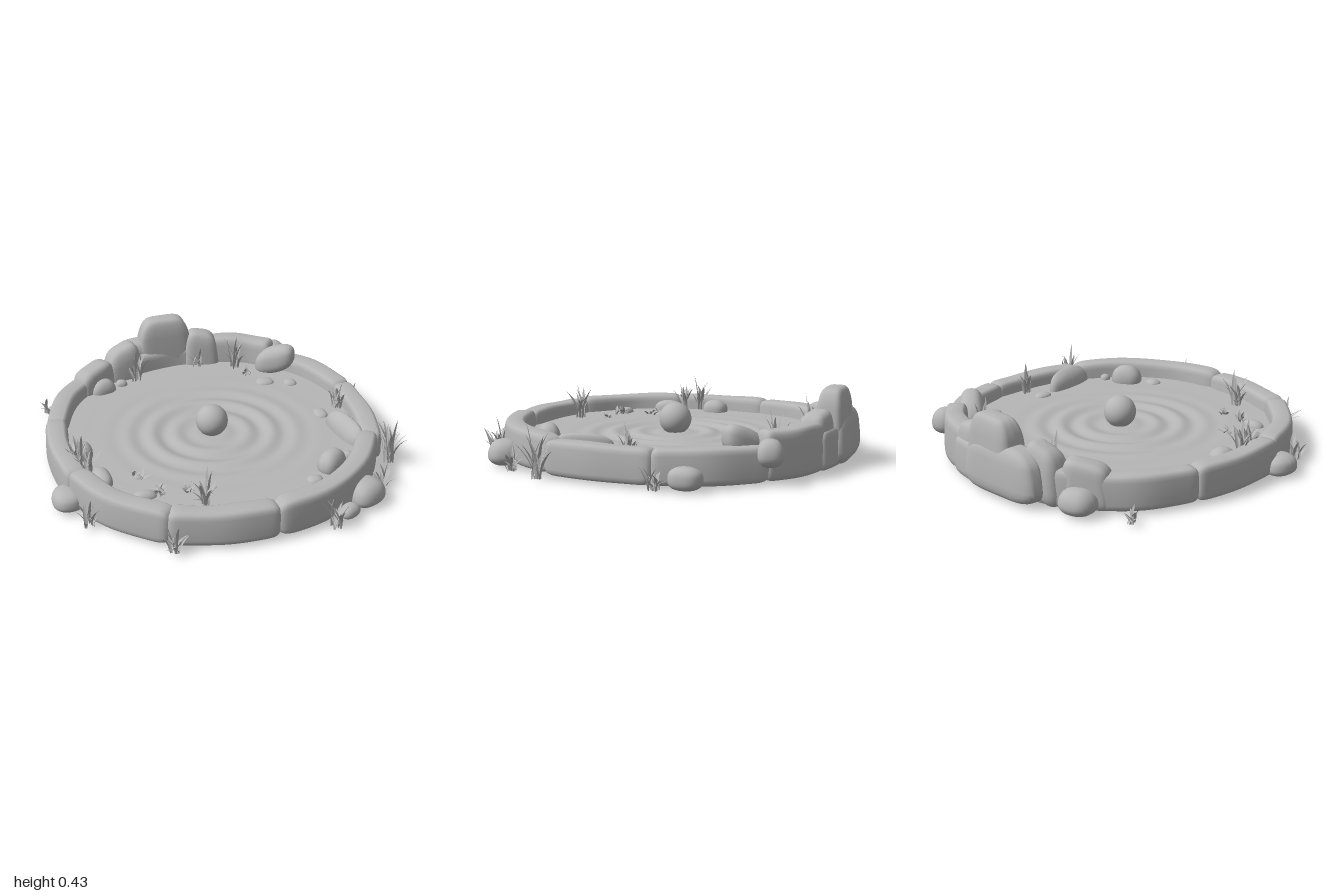
import * as THREE from 'three';

const grey = new THREE.MeshStandardMaterial({ color: 0xb6b6b6, side: THREE.DoubleSide });
grey.name = 'stone grey';

let seed = 7;
const rand = () => (seed = (seed * 16807) % 2147483647) / 2147483647;
const spow = (v, p) => Math.sign(v) * Math.abs(v) ** p;

function add(group, geometry, name) {
  const mesh = new THREE.Mesh(geometry, grey);
  mesh.name = name;
  group.add(mesh);
  return mesh;
}

// Curved kerb stone: rounded section swept along a centre line, closed at both ends
function kerbGeometry(pts, y0, y1, width) {
  const curve = new THREE.CatmullRomCurve3(pts.map(([x, z]) => new THREE.Vector3(x, 0, z)));
  const rows = 22, cols = 20, pos = [], idx = [];
  const phase = rand() * 6;
  for (let i = 0; i <= rows; i++) {
    const t = (1 - Math.cos((i / rows) * Math.PI)) / 2;
    const c = curve.getPoint(t), d = curve.getTangent(t);
    const end = Math.max(0, 1 - Math.abs(2 * t - 1) ** 16) ** 0.3;
    const wob = 1 + 0.025 * Math.sin(t * 9 + phase);
    for (let j = 0; j <= cols; j++) {
      const a = (j / cols) * Math.PI * 2;
      const v = spow(Math.sin(a), 0.42);
      const side = spow(Math.cos(a), 0.42) * (width / 2) * end * wob * (1 - 0.06 * v);
      const y = (y0 + y1) / 2 + v * ((y1 - y0) / 2) * end * (v > 0 ? wob : 1);
      pos.push(c.x + d.z * side, y, c.z - d.x * side);
    }
  }
  for (let i = 0; i < rows; i++)
    for (let j = 0; j < cols; j++) {
      const a = i * (cols + 1) + j, b = a + cols + 1;
      idx.push(a, a + 1, b, a + 1, b + 1, b);
    }
  const g = new THREE.BufferGeometry();
  g.setAttribute('position', new THREE.Float32BufferAttribute(pos, 3));
  g.setIndex(idx);
  g.computeVertexNormals();
  return g;
}

// Smooth boulder: squared-off sphere with gentle lumps; taper narrows the top, lean lifts one end
function rockGeometry(x, z, rx, rz, y0, y1, turn = 0, square = 0.85, taper = 0.08, lean = 0) {
  const g = new THREE.SphereGeometry(1, 28, 18), p = g.attributes.position;
  const k = rand() * 6;
  for (let i = 0; i < p.count; i++) {
    const [a, b, c] = [p.getX(i), p.getY(i), p.getZ(i)];
    const lump = 1 + 0.04 * Math.sin(3 * a + k) * Math.cos(2.5 * c + k) + 0.02 * Math.sin(4 * b + 2 * k);
    const y = spow(b, square), s = lump * (1 - taper * y), px = spow(a, square) * s;
    p.setXYZ(i, px * rx, (y * (y1 - y0)) / 2 + lean * px, spow(c, square) * s * rz);
  }
  g.rotateY(turn);
  g.translate(x, (y0 + y1) / 2, z);
  g.computeVertexNormals();
  return g;
}

// Pointed leaf that leans outwards and bends over
function bladeGeometry(height, lean, width) {
  const g = new THREE.PlaneGeometry(1, 1, 2, 6), p = g.attributes.position;
  for (let i = 0; i < p.count; i++) {
    const u = p.getX(i) * 2, t = p.getY(i) + 0.5;
    const w = width * (0.45 + 1.2 * t) * (1 - t ** 2.2);
    p.setXYZ(i, u * w, height * (t - 0.1 * t * t * t), lean * t ** 1.7 - Math.abs(u) * w * 0.4);
  }
  g.computeVertexNormals();
  return g;
}

function grassTuft(x, z, y, height, spread, count) {
  const tuft = new THREE.Group();
  tuft.name = 'grassTuft';
  tuft.position.set(x, y, z);
  for (let i = 0; i < count; i++) {
    const h = height * (i === 0 ? 1.15 : 0.4 + 0.6 * rand());
    const lean = spread * (i === 0 ? 0.3 : 0.4 + 0.7 * rand());
    const blade = add(tuft, bladeGeometry(h, lean, 0.011), 'grassBlade');
    blade.rotation.y = (i / count) * Math.PI * 2 + rand();
    blade.position.set((rand() - 0.5) * 0.05, 0, (rand() - 0.5) * 0.05);
  }
  return tuft;
}

export function createModel() {
  const model = new THREE.Group();
  model.name = 'gardenPond';

  // Water layer with rings spreading from the middle, fainter on its underside
  const ripples = (y, height) => Array.from({ length: 91 }, (_, i) => {
    const r = (i / 90) * 0.88;
    const fade = Math.exp(-(((r - 0.3) / 0.2) ** 2));
    return new THREE.Vector2(r, y + height * fade * Math.cos(((r - 0.34) / 0.14) * Math.PI * 2));
  });
  add(model, new THREE.LatheGeometry(ripples(0.13, 0.008).reverse(), 72), 'waterTop').position.x = -0.02;
  add(model, new THREE.LatheGeometry(ripples(0.068, 0.003), 72), 'waterUnderside').position.x = -0.02;

  // Ball in the middle
  add(model, new THREE.SphereGeometry(0.09, 40, 28), 'ball').position.set(-0.02, 0.205, -0.005);

  // Ring of kerb stones: centre line, top height, width
  const kerbs = [
    [[[-0.855, -0.27], [-0.883, 0], [-0.845, 0.33]], 0.212, 0.125],
    [[[-0.85, 0.28], [-0.72, 0.56], [-0.45, 0.81]], 0.215, 0.125],
    [[[-0.48, 0.79], [-0.2, 0.865], [0.09, 0.875]], 0.212, 0.13],
    [[[0.06, 0.885], [0.36, 0.8], [0.61, 0.61], [0.79, 0.32]], 0.222, 0.125],
    [[[0.795, 0.37], [0.843, 0.07], [0.84, -0.25]], 0.207, 0.125],
    [[[0.845, -0.22], [0.74, -0.5], [0.55, -0.73]], 0.21, 0.13],
    [[[0.56, -0.7], [0.4, -0.82], [0.18, -0.885]], 0.28, 0.13],
    [[[0.25, -0.88], [0, -0.9], [-0.34, -0.84]], 0.24, 0.15],
    [[[-0.28, -0.85], [-0.45, -0.78], [-0.62, -0.66]], 0.22, 0.13],
    [[[-0.58, -0.72], [-0.75, -0.52], [-0.86, -0.24]], 0.212, 0.125],
  ];
  for (const [pts, top, width] of kerbs) add(model, kerbGeometry(pts, 0.02, top, width), 'kerbStone');

  // Raised boulders at the back: x, z, half sizes, bottom, top, turn, squareness, taper, lean
  const backRocks = [
    [-0.075, -0.905, 0.165, 0.08, 0.03, 0.43, 0.03, 0.45, 0.13],
    [-0.16, -0.91, 0.26, 0.085, 0.02, 0.3, 0.07, 0.5, 0.12],
    [0.155, -0.87, 0.105, 0.08, 0.03, 0.325, -0.15, 0.55, 0.12, -0.02],
    [-0.36, -0.81, 0.115, 0.085, 0.03, 0.32, 0.2, 0.6, 0.12, 0.04],
    [-0.555, -0.705, 0.13, 0.075, 0.03, 0.265, 0.6, 0.5, 0.1, 0.02],
    [-0.58, -0.79, 0.1, 0.085, 0.01, 0.15, 0.3],
    [-0.51, -0.64, 0.075, 0.055, 0.08, 0.2, 0.2],
    [0.55, -0.61, 0.12, 0.07, 0.12, 0.29, -0.65, 0.75, 0.08, 0.045],
    [0.59, -0.76, 0.07, 0.07, 0.1, 0.245, 0.3],
  ];
  // Boulders on the ground outside
  const outerRocks = [
    [0.865, -0.415, 0.065, 0.09, 0.01, 0.13],
    [-0.905, 0.34, 0.085, 0.095, 0.01, 0.125],
    [0.62, 0.72, 0.105, 0.095, 0.005, 0.148, 0.5],
    [0.49, 0.83, 0.06, 0.045, 0.01, 0.085, 0.4],
  ];
  // Pebbles in the water
  const pondRocks = [
    [-0.77, 0.035, 0.06, 0.075, 0.08, 0.2], [-0.715, 0.32, 0.05, 0.09, 0.08, 0.19, 0.1],
    [-0.535, 0.53, 0.065, 0.04, 0.1, 0.16], [0.5, 0.52, 0.09, 0.062, 0.08, 0.23, 0.6],
    [0.37, 0.62, 0.045, 0.04, 0.1, 0.15], [0.62, 0.45, 0.03, 0.03, 0.1, 0.16],
    [0.69, 0.22, 0.05, 0.17, 0.08, 0.22, 0.2, 0.8, 0.08, 0.03], [0.635, -0.03, 0.04, 0.055, 0.1, 0.15],
    [0.445, -0.48, 0.055, 0.048, 0.1, 0.15], [0.585, -0.425, 0.04, 0.042, 0.1, 0.15],
    [-0.39, -0.68, 0.035, 0.03, 0.1, 0.16],
  ];
  const sets = { backBoulder: backRocks, outerBoulder: outerRocks, pebble: pondRocks };
  for (const name in sets) for (const r of sets[name]) add(model, rockGeometry(...r), name);

  // Grass: x, z, base, height, spread, blades
  const tufts = [
    [-0.84, -0.67, 0.01, 0.1, 0.05, 12], [-0.83, 0.54, 0.01, 0.15, 0.07, 12],
    [-0.47, 0.88, 0.01, 0.17, 0.1, 14], [0.39, 0.9, 0.01, 0.2, 0.09, 14],
    [0.77, 0.6, 0.01, 0.14, 0.06, 10], [0.89, 0.38, 0.01, 0.28, 0.1, 15],
    [0.92, -0.27, 0.01, 0.15, 0.07, 12],
    [-0.81, 0.15, 0.13, 0.2, 0.07, 14], [-0.77, 0.23, 0.13, 0.16, 0.06, 11],
    [-0.24, 0.7, 0.13, 0.2, 0.08, 15], [0.75, -0.07, 0.13, 0.17, 0.06, 14],
    [-0.29, -0.72, 0.13, 0.21, 0.06, 12], [0.33, -0.71, 0.13, 0.22, 0.07, 13],
    [0.11, -0.78, 0.13, 0.12, 0.05, 7],
    [-0.52, 0.35, 0.13, 0.04, 0.05, 11], [-0.45, 0.53, 0.13, 0.06, 0.05, 11],
    [-0.3, 0.54, 0.13, 0.03, 0.03, 9], [0.37, -0.6, 0.13, 0.05, 0.05, 11],
  ];
  for (const t of tufts) model.add(grassTuft(...t));

  return model;
}
